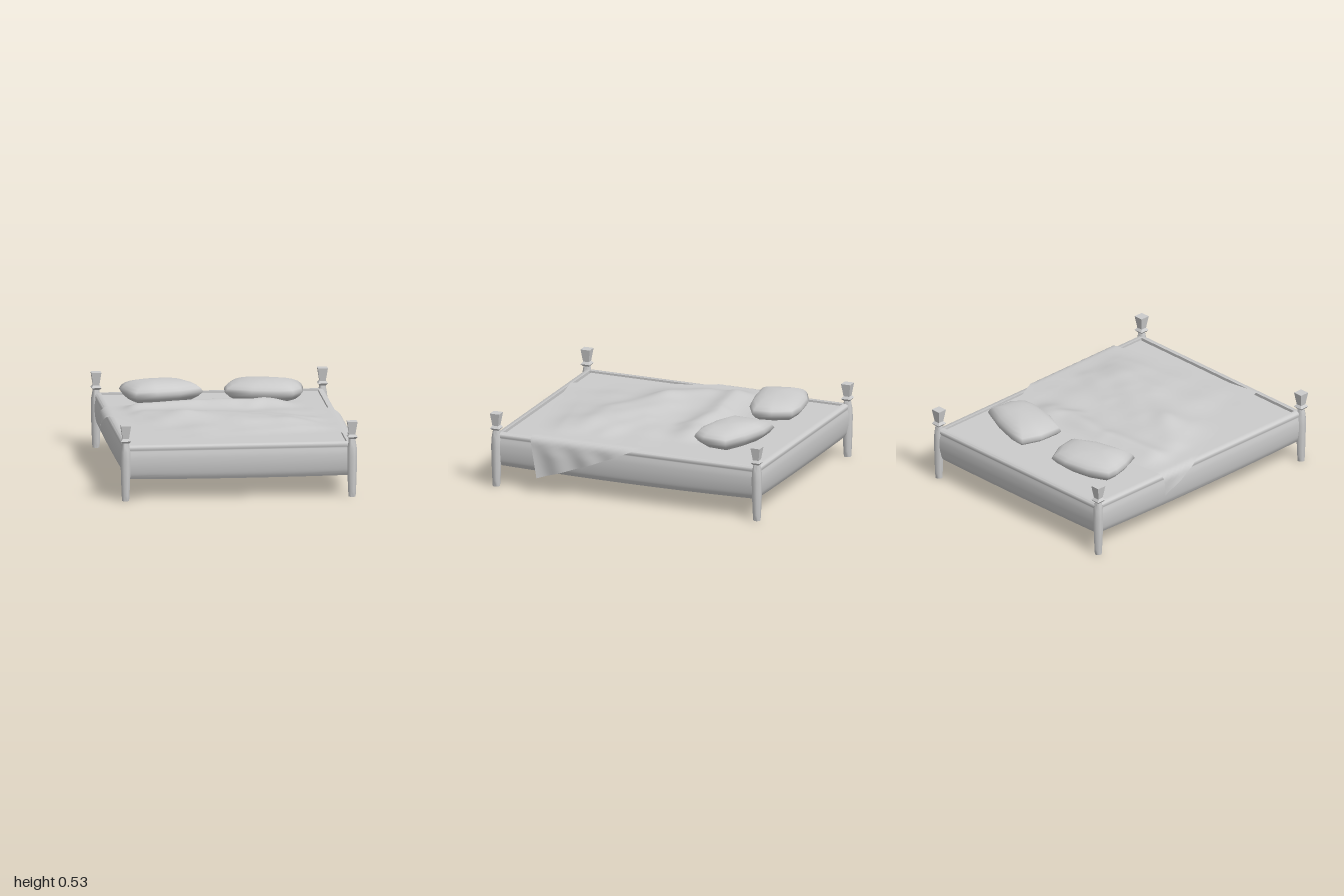
import * as THREE from 'three';
import { toCreasedNormals } from 'three/addons/utils/BufferGeometryUtils.js';

const smooth = new THREE.MeshStandardMaterial({ color: 0xcccccc });
const faceted = new THREE.MeshStandardMaterial({ color: 0xcccccc, flatShading: true });
const cloth = new THREE.MeshStandardMaterial({ color: 0xcccccc, side: THREE.DoubleSide });

const POST_X = 0.774, POST_Z = 0.965;

function add(parent, name, geometry, material) {
  const mesh = new THREE.Mesh(geometry, material);
  mesh.name = name;
  parent.add(mesh);
  return mesh;
}

// Turned octagonal post with a square collar and flared square cap
function makePost() {
  const post = new THREE.Group();
  post.name = 'post';
  const profile = [[0, 0], [0.025, 0], [0.028, 0.04], [0.033, 0.16], [0.036, 0.28],
    [0.034, 0.34], [0.026, 0.385], [0.022, 0.41], [0, 0.41]].map(p => new THREE.Vector2(...p));
  const shaft = new THREE.LatheGeometry(profile, 8, Math.PI / 8).toNonIndexed();
  add(post, 'postShaft', toCreasedNormals(shaft, 0.9), smooth);
  const square = (name, top, bottom, y0, y1) => {
    const g = new THREE.CylinderGeometry(top * Math.SQRT2, bottom * Math.SQRT2, y1 - y0, 4);
    g.rotateY(Math.PI / 4).translate(0, (y0 + y1) / 2, 0);
    add(post, name, g, faceted);
  };
  square('collarLower', 0.034, 0.022, 0.4, 0.415);
  square('collarUpper', 0.021, 0.034, 0.415, 0.432);
  square('cap', 0.034, 0.021, 0.432, 0.52);
  return post;
}

// Rail with a rounded outer face, a top lip and a slightly sagging lower edge
function makeRail(length, sag) {
  const s = new THREE.Shape();
  s.moveTo(-0.033, 0.145);
  s.lineTo(-0.018, 0.145);
  s.splineThru([[0.0, 0.18], [0.011, 0.24], [0.012, 0.3], [0.004, 0.345]]
    .map(p => new THREE.Vector2(...p)));
  s.lineTo(0.008, 0.35);
  s.lineTo(0.006, 0.37);
  s.lineTo(-0.004, 0.378);
  s.lineTo(-0.033, 0.378);
  s.closePath();
  const g = new THREE.ExtrudeGeometry(s, { depth: length, steps: 10, bevelEnabled: false, curveSegments: 4 });
  g.translate(0, 0, -length / 2);
  const p = g.attributes.position;
  for (let i = 0; i < p.count; i++) {
    const t = p.getZ(i) * 2 / length;
    const low = THREE.MathUtils.clamp((0.35 - p.getY(i)) / 0.2, 0, 1);
    p.setY(i, p.getY(i) - sag * low * (1 - t * t));
  }
  return toCreasedNormals(g, 0.9);
}

// Surface from a grid of points: fn(column, row) -> [x, y, z]
function gridSurface(cols, rows, fn, wrap = false) {
  const pos = [], index = [], n = wrap ? cols : cols + 1;
  for (let j = 0; j <= rows; j++) for (let i = 0; i < n; i++) pos.push(...fn(i, j));
  for (let j = 0; j < rows; j++) for (let i = 0; i < cols; i++) {
    const a = j * n + i, b = j * n + (i + 1) % n, c = a + n, d = b + n;
    index.push(a, c, b, b, c, d);
  }
  const g = new THREE.BufferGeometry();
  g.setAttribute('position', new THREE.Float32BufferAttribute(pos, 3));
  g.setIndex(index);
  g.computeVertexNormals();
  return g;
}

// Pillow: an outline [x, z] scaled about its plumpest point through stacked rings
function makePillow(outline, cx, cz) {
  const rings = [[0, 0.39], [0.5, 0.388], [0.75, 0.393], [0.9, 0.42], [1, 0.45], [0.94, 0.475],
    [0.84, 0.494], [0.68, 0.51], [0.48, 0.521], [0.2, 0.527], [0, 0.527]];
  return gridSurface(outline.length, rings.length - 1, (i, j) => {
    const [s, y] = rings[j], [x, z] = outline[i];
    return [cx + (x - cx) * s, y, cz + (z - cz) * s];
  }, true);
}

// Folds of the blanket: [x0, z0, x1, z1, width, height]
const folds = [
  [-0.35, 0.15, 0.35, 0.36, 0.19, 0.038], [-0.55, -0.28, 0.35, -0.3, 0.12, 0.04],
  [-0.45, -0.05, 0.4, 0.0, 0.16, 0.014], [-0.2, 0.55, 0.5, 0.55, 0.16, 0.014],
  [-0.55, -0.02, -0.3, 0.16, 0.08, 0.012], [-0.3, 0.16, 0.0, 0.34, 0.09, 0.014],
  [-0.12, 0.08, 0.2, 0.25, 0.1, 0.014], [0.1, 0.42, 0.5, 0.42, 0.08, 0.01],
  [-0.6, -0.2, -0.2, -0.28, 0.07, 0.01], [-0.15, -0.34, 0.15, -0.26, 0.07, 0.012],
  [0.2, -0.18, 0.32, -0.38, 0.05, 0.01], [0.2, 0.1, 0.55, 0.25, 0.07, 0.01],
];

function foldHeight(x, z) {
  let h = 0;
  for (const [x0, z0, x1, z1, w, k] of folds) {
    const dx = x1 - x0, dz = z1 - z0;
    const t = THREE.MathUtils.clamp(((x - x0) * dx + (z - z0) * dz) / (dx * dx + dz * dz), 0, 1);
    const d = Math.hypot(x - x0 - dx * t, z - z0 - dz * t) / w;
    h += k * Math.exp(-d * d);
  }
  return h + 0.003 * Math.sin(13 * x + 9 * z) * Math.sin(11 * z - 7 * x + 1);
}

// Blanket: a skewed sheet laid on the bed, bent down over both side rails
function makeBlanket() {
  const N = 56;
  const backLeft = [-0.95, -0.36], backRight = [0.56, -0.49];
  const frontLeft = [-0.4, 0.92], frontRight = [1.06, 0.65];
  return gridSurface(N, N, (i, j) => {
    const u = i / N, v = j / N;
    const mix = k => THREE.MathUtils.lerp(
      THREE.MathUtils.lerp(backLeft[k], backRight[k], u),
      THREE.MathUtils.lerp(frontLeft[k], frontRight[k], u), v);
    // Both long edges bow to +x, the back edge bows backwards
    const x = mix(0) + 0.035 * Math.sin(Math.PI * v) * Math.abs(u * 2 - 1);
    const z = mix(1) - 0.065 * (1 - v) ** 3 * Math.sin(Math.PI * u * u);
    const rim = Math.min(1, 7 * Math.min(u, 1 - u, v, 1 - v) + 0.1);
    const side = x > 0 ? 1 : -1, edge = x > 0 ? 0.75 : 0.77, R = 0.035;
    const over = Math.abs(x) - edge;
    if (over <= 0) {
      const fade = Math.min(1, -over / 0.15);
      return [x, 0.394 + (foldHeight(x, z) * rim + 0.003) * fade, z];
    }
    const a = Math.min(over / R, Math.PI / 2);
    const drop = Math.max(0, over - R * Math.PI / 2);
    const ripple = 0.008 * (1 + Math.sin(z * 26 + drop * 9)) * Math.min(1, drop / 0.08);
    return [side * (edge + R * Math.sin(a) + 0.008 * a + ripple), 0.394 - R * (1 - Math.cos(a)) - drop, z];
  });
}

export function createModel() {
  const bed = new THREE.Group();
  bed.name = 'bed';

  const frame = new THREE.Group();
  frame.name = 'frame';
  frame.position.x = -0.009;
  bed.add(frame);

  for (const sx of [-1, 1]) for (const sz of [-1, 1]) {
    const post = makePost();
    post.position.set(sx * POST_X, 0, sz * POST_Z);
    frame.add(post);
  }

  const sideRail = makeRail(POST_Z * 2 - 0.04, 0.013);
  const endRail = makeRail(POST_X * 2 - 0.04, 0.006);
  for (const s of [1, -1]) {
    const side = add(frame, s > 0 ? 'leftRail' : 'rightRail', sideRail, smooth);
    side.position.x = s * POST_X;
    side.rotation.y = s > 0 ? 0 : Math.PI;
    const end = add(frame, s > 0 ? 'frontRail' : 'backRail', endRail, smooth);
    end.position.z = s > 0 ? 0.964 : -0.973;
    end.rotation.y = -s * Math.PI / 2;
  }

  // Mattress sits a little below the top of the rails
  const mattress = add(frame, 'mattress', new THREE.BoxGeometry(1.48, 0.122, 1.862), smooth);
  mattress.position.set(0, 0.303, -0.009);

  const rightOutline = [[-0.65, -0.73], [-0.65, -0.65], [-0.62, -0.53], [-0.57, -0.41], [-0.42, -0.43],
    [-0.25, -0.47], [-0.09, -0.56], [-0.11, -0.69], [-0.18, -0.82], [-0.31, -0.83], [-0.5, -0.8]];
  const leftOutline = [[0.11, -0.81], [0.06, -0.67], [0.05, -0.5], [0.22, -0.42], [0.41, -0.38],
    [0.51, -0.39], [0.58, -0.48], [0.6, -0.66], [0.43, -0.74], [0.24, -0.8]];
  // Rings run bottom to top, so the outline is reversed to face outward
  add(bed, 'rightPillow', makePillow(rightOutline.reverse(), -0.43, -0.61), smooth);
  add(bed, 'leftPillow', makePillow(leftOutline.reverse(), 0.37, -0.59), smooth);

  add(bed, 'blanket', makeBlanket(), cloth);
  return bed;
}
